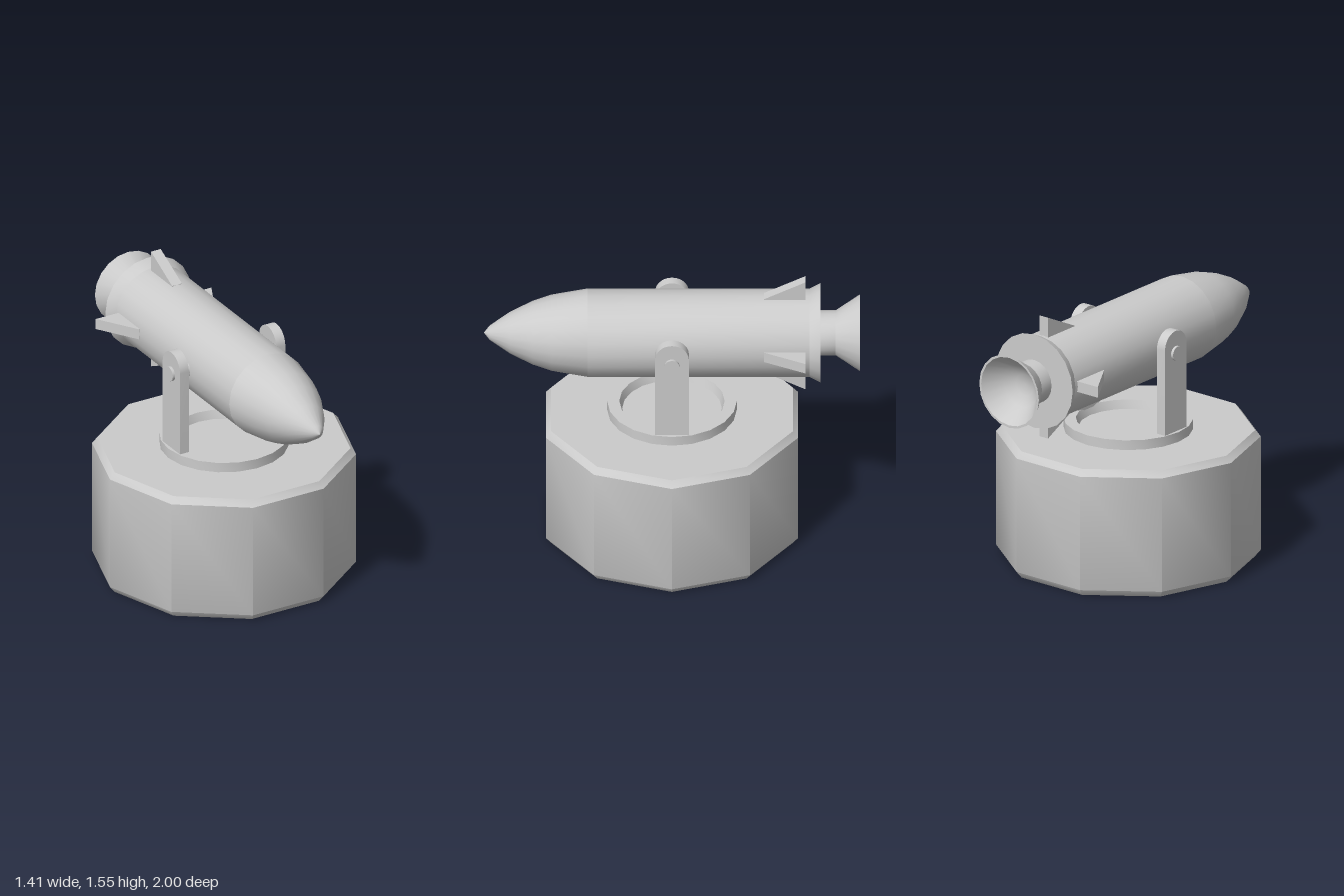
import * as THREE from 'three';
import { toCreasedNormals } from 'three/addons/utils/BufferGeometryUtils.js';

const AXIS_Y = 1.207; // height of the rocket axis and pivot

export function createModel() {
  const root = new THREE.Group();
  const mat = new THREE.MeshStandardMaterial({ color: 0xcccccc });

  const add = (name, geo, parent = root) => {
    const mesh = new THREE.Mesh(geo, mat);
    mesh.name = name;
    parent.add(mesh);
    return mesh;
  };
  const lathe = (pts, sides) => new THREE.LatheGeometry(
    pts.map(([r, y]) => new THREE.Vector2(r, y)), sides, Math.PI / 2);
  const crease = (geo, angle) => toCreasedNormals(geo, angle);

  // Ten-sided chamfered pedestal
  add('base', crease(lathe([
    [0, 0], [0.675, 0], [0.705, 0.037], [0.705, 0.68], [0.675, 0.715], [0, 0.715],
  ], 10), 0.66));

  // Turntable ring with a recessed floor
  add('turntable', crease(lathe([
    [0.345, 0.705], [0.345, 0.77], [0.28, 0.77], [0.265, 0.722], [0, 0.722],
  ], 20), 0.6));

  // Round-topped support arms with pivot pins
  const armShape = new THREE.Shape();
  armShape.moveTo(-0.09, 0.76);
  armShape.lineTo(0.09, 0.76);
  armShape.lineTo(0.09, 1.25);
  armShape.absarc(0, 1.25, 0.09, 0, Math.PI, false);
  armShape.closePath();
  for (const [side, s] of [['left', 1], ['right', -1]]) {
    const arm = new THREE.ExtrudeGeometry(armShape, { depth: 0.055, bevelEnabled: false, curveSegments: 10 });
    arm.translate(0, 0, -0.0275).rotateY(Math.PI / 2).translate(s * 0.298, 0, 0);
    add(side + 'Arm', crease(arm, 0.6));
    const pin = new THREE.CylinderGeometry(0.04, 0.04, 0.14, 16);
    pin.rotateZ(Math.PI / 2).translate(s * 0.27, AXIS_Y + 0.008, 0);
    add(side + 'Pin', pin);
  }

  // Rocket, built along z around its own axis
  const rocket = new THREE.Group();
  rocket.name = 'rocket';
  rocket.position.y = AXIS_Y;
  root.add(rocket);

  const body = lathe([
    [0, -0.79], [0.265, -0.79], [0.235, -0.73], [0.235, 0.45],
  ], 20).rotateX(Math.PI / 2);
  add('body', crease(body, 0.42), rocket);

  const nose = lathe([
    [0.235, 0.45], [0.203, 0.64], [0.17, 0.74], [0.112, 0.86], [0.038, 0.97], [0, 1],
  ], 20).rotateX(Math.PI / 2);
  add('noseCone', crease(nose, 0.5), rocket);

  // Hollow exhaust bell on a short neck
  const nozzle = lathe([
    [0, -0.86], [0.06, -0.868], [0.115, -0.9], [0.192, -1], [0.205, -1],
    [0.12, -0.87], [0.12, -0.78],
  ], 20).rotateX(Math.PI / 2);
  add('nozzle', crease(nozzle, 0.5), rocket);

  // Four wedge fins; the shape lies in (z, radius) and is turned around the axis
  const spans = [['top', 0.343, 0], ['right', 0.372, 1], ['bottom', 0.343, 2], ['left', 0.343, 3]];
  for (const [side, tip, quarter] of spans) {
    const fin = new THREE.Shape();
    fin.moveTo(0.49, 0.2);
    fin.lineTo(0.71, 0.2);
    fin.lineTo(0.71, tip);
    fin.lineTo(0.49, 0.235);
    fin.closePath();
    const geo = new THREE.ExtrudeGeometry(fin, { depth: 0.06, bevelEnabled: false });
    geo.translate(0, 0, -0.03).rotateY(Math.PI / 2).rotateZ(quarter * Math.PI / 2);
    add(side + 'Fin', geo, rocket);
  }

  return root;
}
